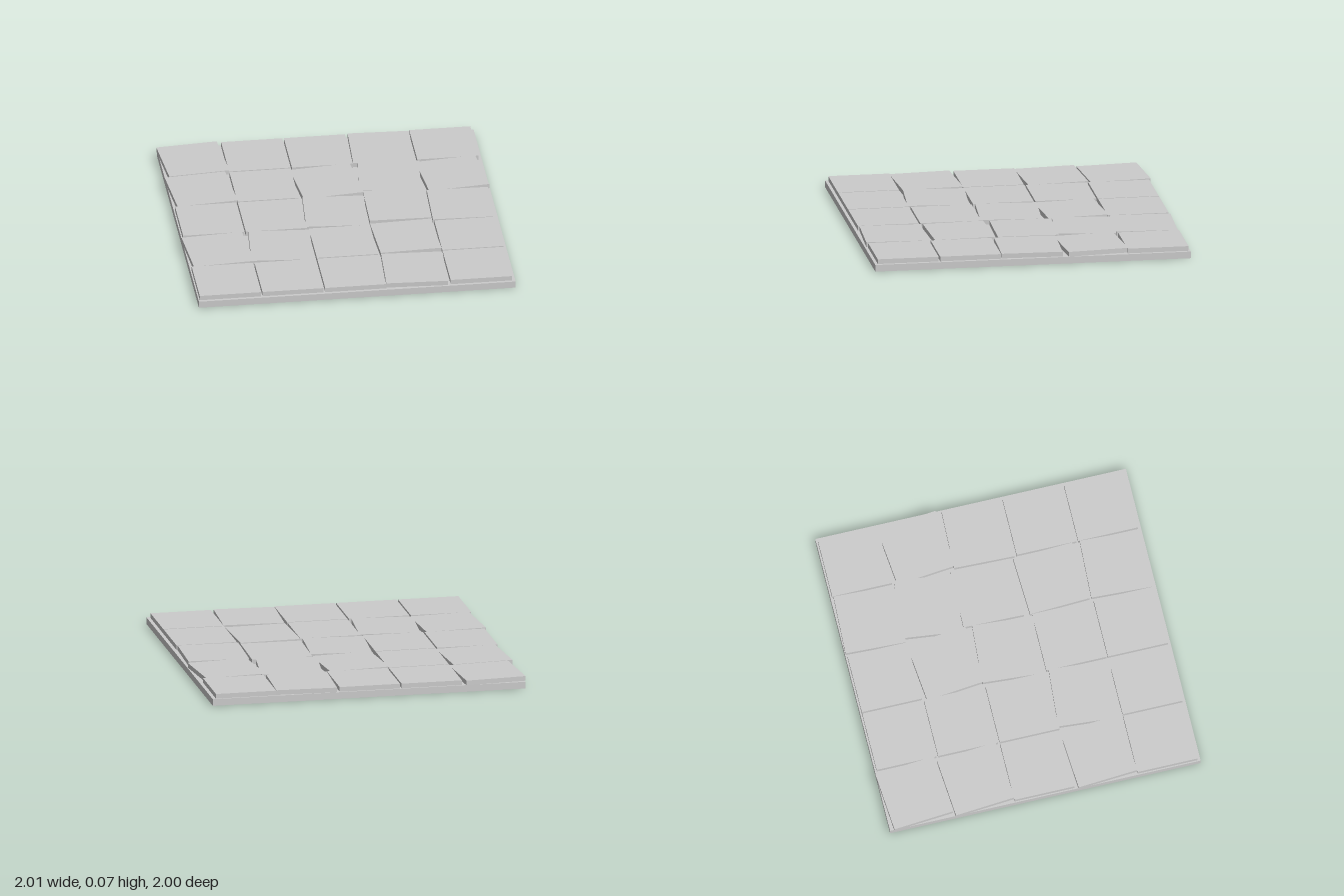
import * as THREE from 'three';

// Yaw of each paving tile, rows from back to front, columns from -x to +x
const YAW = [
  [0.08, 0, 0, -0.04, 0],
  [0.08, 0, 0.1, -0.115, 0.1],
  [0, 0, -0.07, -0.02, -0.03],
  [0.07, -0.075, 0, 0.045, 0],
  [0, 0, 0, -0.045, 0],
];
// Tiles pushed out of their row: 'row,column' -> shift in z
const SHIFT = { '1,3': -0.02, '2,3': -0.037, '3,3': -0.02 };

const BASE_HEIGHT = 0.043, TILE_HEIGHT = 0.03, TILE_SIZE = 0.386, PITCH = 0.396;

export function createModel() {
  const model = new THREE.Group();
  model.name = 'pavedFloor';
  const material = new THREE.MeshStandardMaterial({ color: 0xcccccc, flatShading: true });

  // Foundation slab
  const base = new THREE.Mesh(new THREE.BoxGeometry(2, BASE_HEIGHT, 2), material);
  base.name = 'baseSlab';
  base.position.y = BASE_HEIGHT / 2;
  model.add(base);

  // Grid of loose, slightly twisted tiles
  const tiles = new THREE.Group();
  tiles.name = 'tiles';
  const tileGeometry = new THREE.BoxGeometry(TILE_SIZE, TILE_HEIGHT, TILE_SIZE);
  YAW.forEach((row, r) => row.forEach((yaw, c) => {
    const tile = new THREE.Mesh(tileGeometry, material);
    tile.name = `tileRow${r + 1}Column${c + 1}`;
    tile.position.set(
      -0.799 + c * PITCH,
      BASE_HEIGHT + TILE_HEIGHT / 2,
      -0.796 + r * PITCH + (SHIFT[`${r},${c}`] ?? 0),
    );
    tile.rotation.y = yaw;
    tiles.add(tile);
  }));
  model.add(tiles);

  return model;
}
